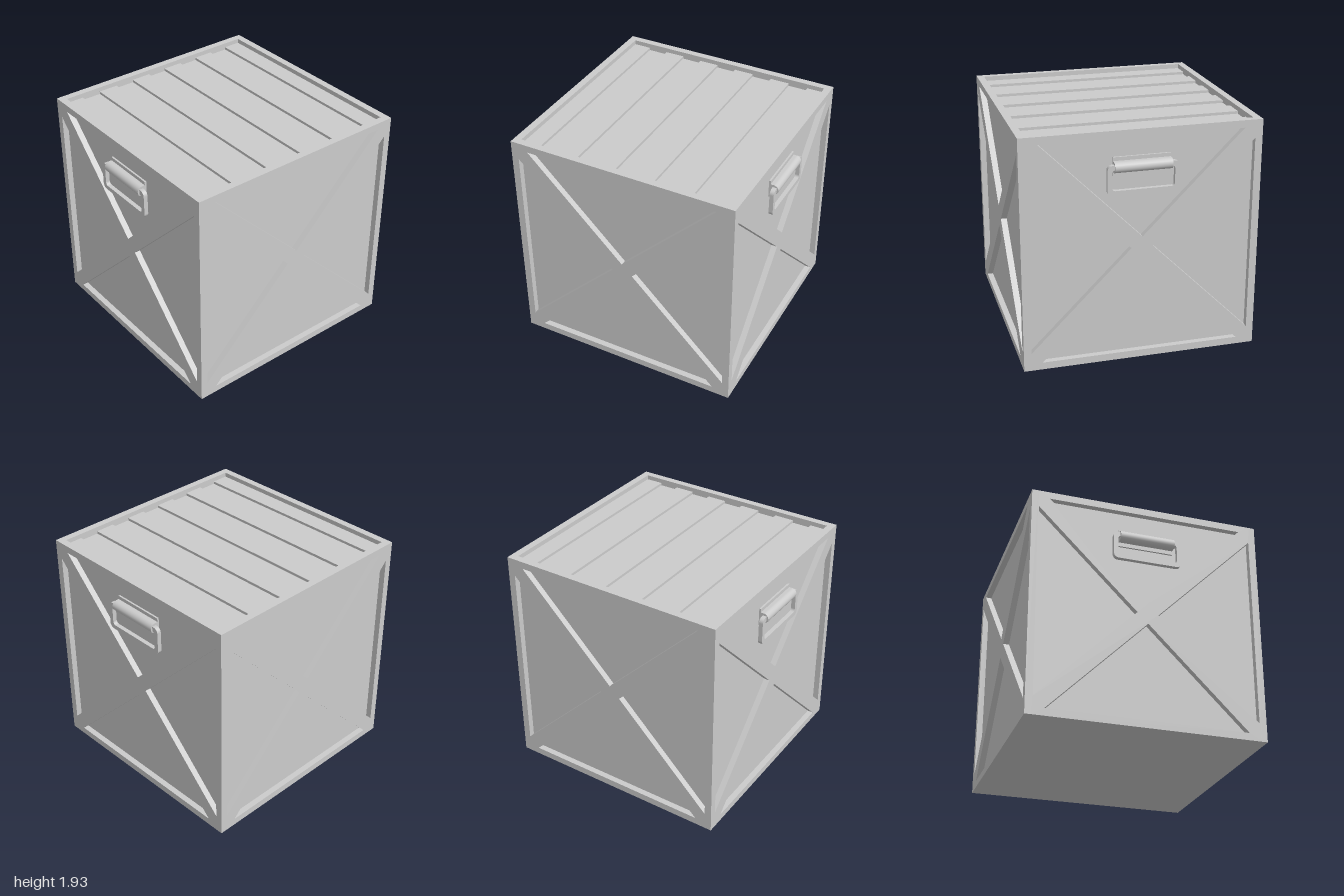
import * as THREE from 'three';

const HALF = 0.965;     // half the crate's side
const INNER = 0.905;    // half the opening inside the border
const DEPTH = 0.05;     // thickness of the braced frames
const CORE = HALF - DEPTH;
const FLOOR = 1.87;     // level of the low lid planks
const HEIGHT = HALF * 2;

const material = new THREE.MeshStandardMaterial({ color: 0xcccccc });

function add(parent, name, geometry, x = 0, y = 0, z = 0) {
  const mesh = new THREE.Mesh(geometry, material);
  mesh.name = name;
  mesh.position.set(x, y, z);
  parent.add(mesh);
  return mesh;
}

function rect(Type, w, h) {
  const path = new Type();
  path.moveTo(-w, -h);
  path.lineTo(w, -h);
  path.lineTo(w, h);
  path.lineTo(-w, h);
  path.closePath();
  return path;
}

function roundedRect(Type, w, h, r) {
  const path = new Type();
  path.absarc(w - r, h - r, r, 0, Math.PI / 2);
  path.absarc(-w + r, h - r, r, Math.PI / 2, Math.PI);
  path.absarc(-w + r, -h + r, r, Math.PI, Math.PI * 1.5);
  path.absarc(w - r, -h + r, r, Math.PI * 1.5, Math.PI * 2);
  path.closePath();
  return path;
}

// Border and diagonal cross in one piece, leaving four triangular openings
function bracedFrame(halfWidth) {
  const shape = rect(THREE.Shape, halfWidth, HALF);
  for (let i = 0; i < 4; i++) {
    const turn = (x, y) => new THREE.Vector2(x, y).rotateAround(new THREE.Vector2(), i * Math.PI / 2);
    shape.holes.push(new THREE.Path([turn(-0.817, INNER), turn(0, 0.088), turn(0.817, INNER)]));
  }
  return new THREE.ExtrudeGeometry(shape, { depth: DEPTH, bevelEnabled: false });
}

// Carrying handle, built facing +z with its origin on the recessed panel
function createHandle() {
  const handle = new THREE.Group();
  handle.name = 'handle';

  add(handle, 'mountPlate', new THREE.BoxGeometry(0.46, 0.15, 0.02), 0, 1.635, 0.005);

  const ring = roundedRect(THREE.Shape, 0.287, 0.12, 0.04);
  ring.holes.push(roundedRect(THREE.Path, 0.25, 0.083, 0.025));
  add(handle, 'ring', new THREE.ExtrudeGeometry(ring, {
    depth: 0.035, bevelEnabled: false, curveSegments: 6,
  }), 0, 1.54, 0.033);

  // Round hinge sleeve with a block behind it joining the plate
  const sleeve = new THREE.CylinderGeometry(0.043, 0.043, 0.46, 20).rotateZ(Math.PI / 2);
  add(handle, 'hingeSleeve', sleeve, 0, 1.637, 0.04);
  add(handle, 'hingeBlock', new THREE.BoxGeometry(0.46, 0.086, 0.04), 0, 1.637, 0.02);
  return handle;
}

export function createModel() {
  const crate = new THREE.Group();
  crate.name = 'crate';

  add(crate, 'core', new THREE.BoxGeometry(CORE * 2, FLOOR, CORE * 2), 0, FLOOR / 2, 0);

  // Four braced sides; front and back cover the ends of the other two
  for (let i = 0; i < 4; i++) {
    const side = new THREE.Group();
    side.name = ['front', 'left', 'back', 'right'][i] + 'Side';
    side.rotation.y = i * Math.PI / 2;
    add(side, 'bracedFrame', bracedFrame(i % 2 ? CORE : HALF), 0, HALF, CORE);
    if (i % 2) {
      const handle = createHandle();
      handle.position.z = CORE;
      side.add(handle);
    }
    crate.add(side);
  }

  // Inner lip of the top rim
  const lip = rect(THREE.Shape, CORE, CORE);
  lip.holes.push(rect(THREE.Path, INNER, INNER));
  const lipGeometry = new THREE.ExtrudeGeometry(lip, { depth: HEIGHT - FLOOR, bevelEnabled: false });
  add(crate, 'topLip', lipGeometry.rotateX(-Math.PI / 2), 0, FLOOR, 0);

  // Lid: every other plank stands proud of the lid surface
  const pitch = 0.168;
  for (let i = -5; i <= 5; i += 2) {
    const start = Math.max(-INNER, (i - 0.5) * pitch);
    const end = Math.min(INNER, (i + 0.5) * pitch);
    add(crate, 'lidPlank', new THREE.BoxGeometry(end - start, 0.04, INNER * 2),
      (start + end) / 2, FLOOR + 0.002, 0);
  }
  return crate;
}
